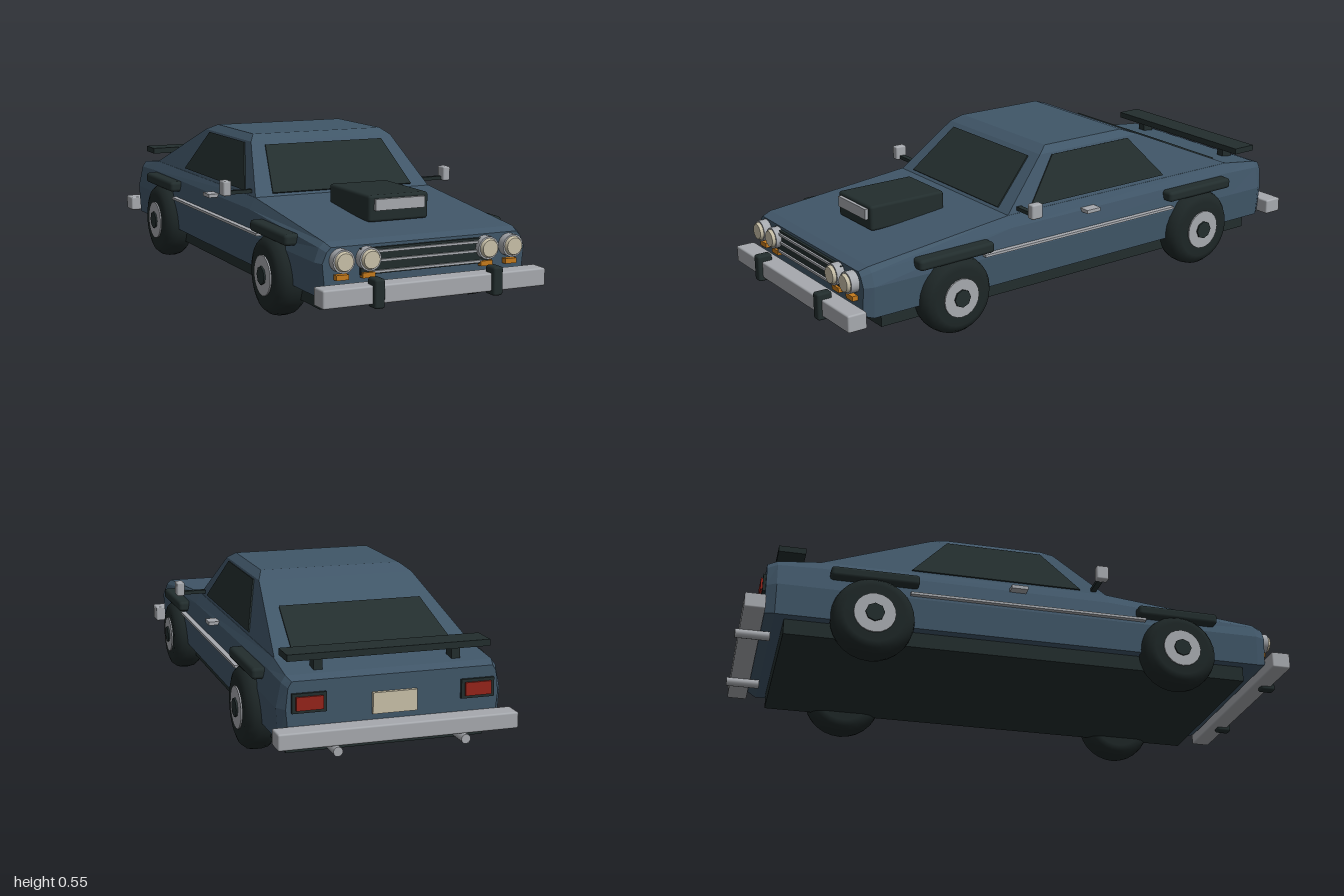
import * as THREE from 'three';
import { RoundedBoxGeometry } from 'three/addons/geometries/RoundedBoxGeometry.js';

const V = (x, y, z) => new THREE.Vector3(x, y, z);
const material = (name, color) => Object.assign(new THREE.MeshStandardMaterial({ color }), { name });

// Closed faceted solid through rings of equal point count
function loft(rings) {
  const tris = [], n = rings[0].length, last = rings[rings.length - 1];
  for (let r = 0; r + 1 < rings.length; r++) {
    for (let i = 0; i < n; i++) {
      const j = (i + 1) % n, a = rings[r], b = rings[r + 1];
      tris.push([a[i], a[j], b[j]], [a[i], b[j], b[i]]);
    }
  }
  for (let i = 1; i + 1 < n; i++) {
    tris.push([rings[0][0], rings[0][i + 1], rings[0][i]], [last[0], last[i], last[i + 1]]);
  }
  // Turn the corners round if the solid is inside out
  const volume = tris.reduce((s, [a, b, c]) => s + a.dot(b.clone().cross(c)), 0);
  const points = tris.flatMap(([a, b, c]) => (volume < 0 ? [a, c, b] : [a, b, c]));
  const geometry = new THREE.BufferGeometry().setFromPoints(points);
  geometry.computeVertexNormals();
  return geometry;
}

// Thin plate lying on a flat four-cornered area
function plate(corners) {
  const normal = corners[1].clone().sub(corners[0]).cross(corners[2].clone().sub(corners[0])).normalize();
  return loft([-0.004, 0.005].map((d) => corners.map((p) => p.clone().addScaledVector(normal, d))));
}

export function createModel() {
  const car = new THREE.Group();
  car.name = 'car';
  const paint = material('bluePaint', 0x405668);
  const black = material('blackTrim', 0x222d2d);
  const glass = material('darkGlass', 0x232e2e);
  const rubber = material('tyreRubber', 0x1d2626);
  const silver = material('silver', 0xa6a9ae);
  const cream = material('cream', 0xc8c0a8);
  const orange = material('orange', 0xc47a1c);
  const red = material('red', 0x94231a);

  const add = (name, geometry, mat, x = 0, y = 0, z = 0, parent = car) => {
    const mesh = new THREE.Mesh(geometry, mat);
    mesh.name = name;
    mesh.position.set(x, y, z);
    parent.add(mesh);
    return mesh;
  };
  // Box given by its limits
  const box = (name, mat, x0, x1, y0, y1, z0, z1, round = 0) => {
    const size = [x1 - x0, y1 - y0, z1 - z0];
    const g = round ? new RoundedBoxGeometry(...size, 2, round) : new THREE.BoxGeometry(...size);
    return add(name, g, mat, (x0 + x1) / 2, (y0 + y1) / 2, (z0 + z1) / 2);
  };
  // The same box on both sides
  const boxPair = (name, mat, x0, x1, ...rest) => [
    box(name + 'Left', mat, x0, x1, ...rest), box(name + 'Right', mat, -x1, -x0, ...rest)];

  // Lower body: half sections from bottom to top, front to rear
  const sections = [
    [0.905, [0.36, 0.14], [0.37, 0.24], [0.355, 0.275], [0.34, 0.29]],
    [0.87, [0.375, 0.13], [0.382, 0.24], [0.365, 0.285], [0.347, 0.302]],
    [0.31, [0.375, 0.13], [0.382, 0.24], [0.365, 0.32], [0.345, 0.36]],
    [-0.73, [0.375, 0.13], [0.382, 0.24], [0.365, 0.325], [0.345, 0.36]],
    [-0.88, [0.375, 0.13], [0.382, 0.24], [0.365, 0.32], [0.35, 0.342]],
    [-0.915, [0.35, 0.14], [0.36, 0.24], [0.352, 0.31], [0.34, 0.33]],
  ];
  add('body', loft(sections.map(([z, ...half]) => [
    ...half.map(([x, y]) => V(x, y, z)),
    ...half.slice().reverse().map(([x, y]) => V(-x, y, z)),
  ])), paint);
  box('underbody', black, -0.34, 0.34, 0.075, 0.14, -0.845, 0.825);

  // Cabin: rings from the belt line to the roof
  const cabinRing = (y, half, front, rear) =>
    [V(half, y, front), V(half, y, rear), V(-half, y, rear), V(-half, y, front)];
  add('cabin', loft([
    cabinRing(0.35, 0.347, 0.32, -0.755),
    cabinRing(0.532, 0.283, 0.125, -0.33),
    cabinRing(0.555, 0.258, 0.085, -0.265),
  ]), paint);

  // Windows laid on the cabin faces
  const up = (y) => (y - 0.35) / 0.182;
  const sideX = (y) => 0.347 - 0.064 * up(y);
  const frontZ = (y) => 0.32 - 0.195 * up(y);
  const rearZ = (y) => -0.755 + 0.425 * up(y);
  add('windshield', plate([V(-0.275, 0.368, frontZ(0.368)), V(0.275, 0.368, frontZ(0.368)),
    V(0.235, 0.518, frontZ(0.518)), V(-0.235, 0.518, frontZ(0.518))]), glass);
  add('rearWindow', plate([V(0.28, 0.362, rearZ(0.362)), V(-0.28, 0.362, rearZ(0.362)),
    V(-0.255, 0.468, rearZ(0.468)), V(0.255, 0.468, rearZ(0.468))]), glass);
  for (const s of [1, -1]) {
    const corners = [[0.37, 0.21], [0.37, -0.41], [0.525, -0.275], [0.525, 0.075]]
      .map(([y, z]) => V(s * sideX(y), y, z));
    add(s > 0 ? 'sideWindowLeft' : 'sideWindowRight', plate(s > 0 ? corners : corners.reverse()), glass);
  }

  // Hood scoop
  box('hoodScoop', black, -0.112, 0.112, 0.32, 0.41, 0.42, 0.718, 0.01);
  box('scoopIntake', silver, -0.092, 0.092, 0.36, 0.398, 0.71, 0.73);

  // Rear spoiler
  box('spoiler', black, -0.345, 0.345, 0.385, 0.407, -0.88, -0.785);
  boxPair('spoilerPost', black, 0.22, 0.25, 0.33, 0.39, -0.855, -0.81);

  // Bumpers, guards and exhausts
  box('frontBumper', silver, -0.405, 0.405, 0.115, 0.175, 0.915, 0.985, 0.006);
  boxPair('bumperGuard', black, 0.197, 0.233, 0.102, 0.197, 0.945, 1, 0.008);
  box('rearBumper', silver, -0.405, 0.405, 0.13, 0.185, -0.985, -0.913, 0.006);
  for (const s of [1, -1]) {
    add('exhaust', new THREE.CylinderGeometry(0.016, 0.016, 0.12, 12), silver, s * 0.215, 0.117, -0.94)
      .rotation.x = Math.PI / 2;
  }

  // Grille with bars
  box('grille', black, -0.24, 0.24, 0.195, 0.28, 0.89, 0.915);
  for (const y of [0.203, 0.238, 0.268]) box('grilleBar', silver, -0.2, 0.2, y - 0.004, y + 0.004, 0.91, 0.922);

  // Headlights and indicators
  for (const s of [1, -1]) {
    for (const x of [0.216, 0.309]) {
      add('headlightRim', new THREE.CylinderGeometry(0.038, 0.038, 0.04, 20), silver, s * x, 0.248, 0.915)
        .rotation.x = Math.PI / 2;
      add('headlight', new THREE.CylinderGeometry(0.028, 0.033, 0.012, 20), cream, s * x, 0.248, 0.94)
        .rotation.x = Math.PI / 2;
    }
  }
  boxPair('outerIndicator', orange, 0.287, 0.331, 0.187, 0.204, 0.89, 0.925);
  boxPair('innerIndicator', orange, 0.194, 0.238, 0.187, 0.204, 0.89, 0.925);

  // Tail lights and rear plate
  boxPair('tailLightHousing', black, 0.228, 0.342, 0.228, 0.292, -0.925, -0.89);
  boxPair('tailLight', red, 0.24, 0.33, 0.238, 0.282, -0.932, -0.92);
  box('rearPlate', cream, -0.075, 0.075, 0.205, 0.275, -0.928, -0.905);

  // Fender flares, side trim, handles and mirrors
  for (const m of boxPair('frontFlare', black, 0.355, 0.41, 0.264, 0.303, 0.41, 0.71, 0.012)) m.rotation.x = 0.01;
  boxPair('rearFlare', black, 0.355, 0.41, 0.282, 0.321, -0.7, -0.39, 0.012);
  boxPair('sideTrim', silver, 0.37, 0.397, 0.25, 0.259, -0.42, 0.44);
  boxPair('doorHandle', silver, 0.355, 0.4, 0.317, 0.33, -0.06, 0);
  boxPair('mirrorArm', black, 0.34, 0.425, 0.37, 0.383, 0.25, 0.27);
  boxPair('mirror', silver, 0.423, 0.453, 0.367, 0.42, 0.24, 0.285, 0.006);

  // Wheels
  const wheel = (name, side, r, z) => {
    const g = new THREE.Group();
    g.name = name;
    g.position.set(side * 0.365, r + 0.003, z);
    g.rotation.z = -side * Math.PI / 2;
    const profile = [[0, -0.055], [r * 0.72, -0.058], [r * 0.87, -0.05], [r * 0.97, -0.032], [r, -0.012],
      [r, 0.012], [r * 0.97, 0.032], [r * 0.87, 0.05], [r * 0.72, 0.058], [0, 0.055]]
      .map(([x, y]) => new THREE.Vector2(x, y));
    add('tyre', new THREE.LatheGeometry(profile, 28), rubber, 0, 0, 0, g);
    add('rim', new THREE.CylinderGeometry(r * 0.5, r * 0.5, 0.02, 20), silver, 0, 0.052, 0, g);
    add('hubCap', new THREE.CylinderGeometry(r * 0.23, r * 0.23, 0.02, 8), black, 0, 0.058, 0, g);
    car.add(g);
  };
  for (const s of [1, -1]) {
    const label = s > 0 ? 'Left' : 'Right';
    wheel('frontWheel' + label, s, 0.138, 0.56);
    wheel('rearWheel' + label, s, 0.146, -0.547);
  }
  return car;
}
